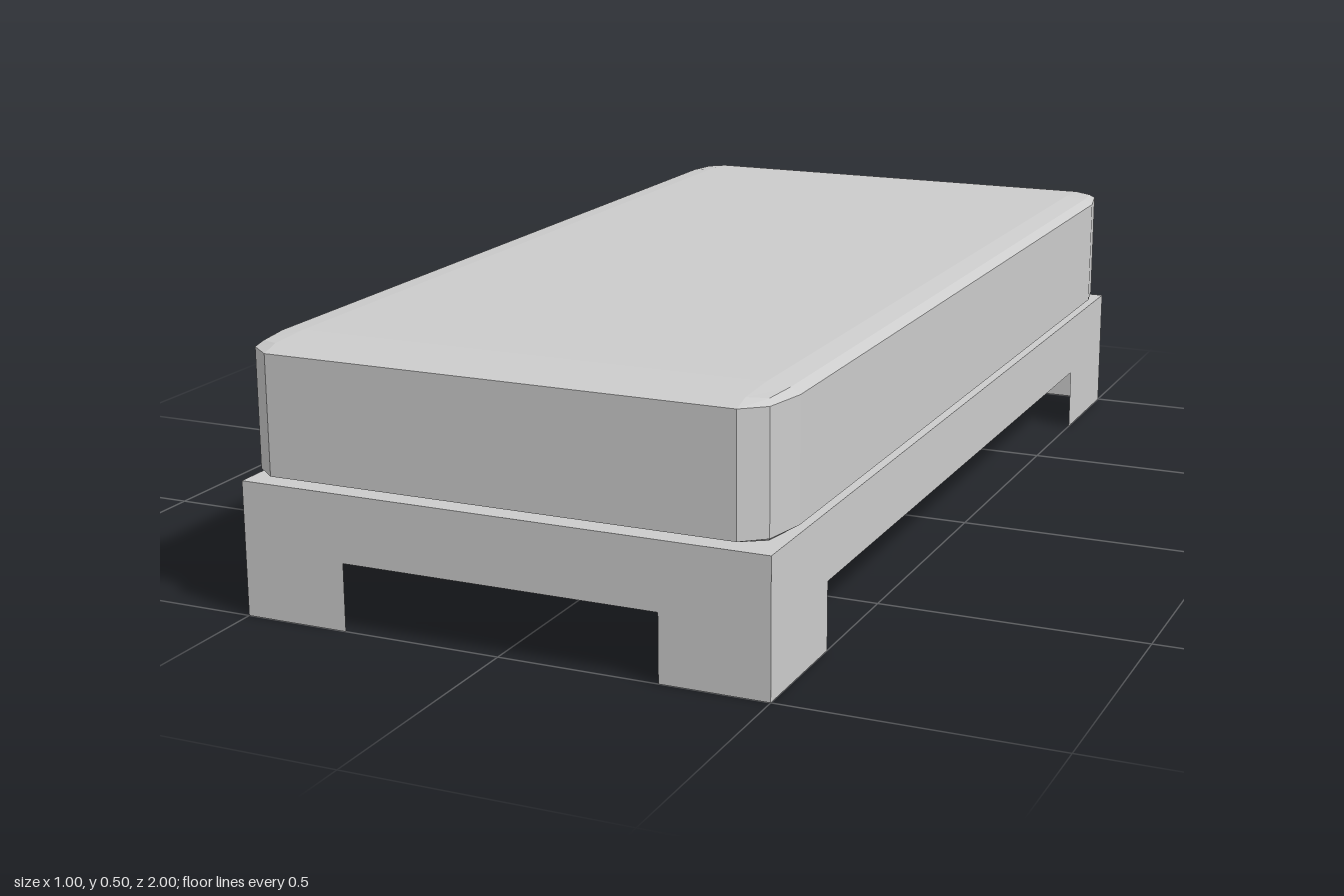
import * as THREE from 'three';
import { RoundedBoxGeometry } from 'three/addons/geometries/RoundedBoxGeometry.js';

const W = 1, L = 2, BASE_H = 0.25, NOTCH_H = 0.125;

// Thin wall with a notch cut from its lower edge, leaving a leg at each end
function wallGeometry(width, leg) {
  const h = width / 2, n = h - leg;
  const points = [
    [-h, 0], [-n, 0], [-n, NOTCH_H], [n, NOTCH_H],
    [n, 0], [h, 0], [h, BASE_H], [-h, BASE_H],
  ];
  return new THREE.ShapeGeometry(new THREE.Shape(points.map(([x, y]) => new THREE.Vector2(x, y))));
}

export function createModel() {
  const model = new THREE.Group();
  model.name = 'bed';
  const solid = new THREE.MeshStandardMaterial({ color: 0xcccccc, flatShading: true });
  const sheet = new THREE.MeshStandardMaterial({ color: 0xcccccc, side: THREE.DoubleSide });

  // Mattress: a bevelled cube stretched to size, so its bevels stretch too
  const mattressGeometry = new RoundedBoxGeometry(1, 1, 1, 1, 0.06);
  mattressGeometry.scale(W, 0.25, L);
  const mattress = new THREE.Mesh(mattressGeometry, solid);
  mattress.name = 'mattress';
  mattress.position.y = BASE_H + 0.125;
  model.add(mattress);

  // Bed frame: an open-bottomed shell of thin sheets
  const frame = new THREE.Group();
  frame.name = 'frame';
  model.add(frame);

  const deck = new THREE.Mesh(new THREE.PlaneGeometry(W, L).rotateX(-Math.PI / 2), sheet);
  deck.name = 'deck';
  deck.position.y = BASE_H;
  frame.add(deck);

  // Four walls, each turned to face outwards
  const endWall = wallGeometry(W, 0.2);
  const sideWall = wallGeometry(L, 0.25);
  ['frontWall', 'leftWall', 'backWall', 'rightWall'].forEach((name, i) => {
    const isSide = i % 2 === 1;
    const angle = (i * Math.PI) / 2;
    const distance = (isSide ? W : L) / 2;
    const wall = new THREE.Mesh(isSide ? sideWall : endWall, sheet);
    wall.name = name;
    wall.rotation.y = angle;
    wall.position.set(Math.sin(angle) * distance, 0, Math.cos(angle) * distance);
    frame.add(wall);
  });

  return model;
}
